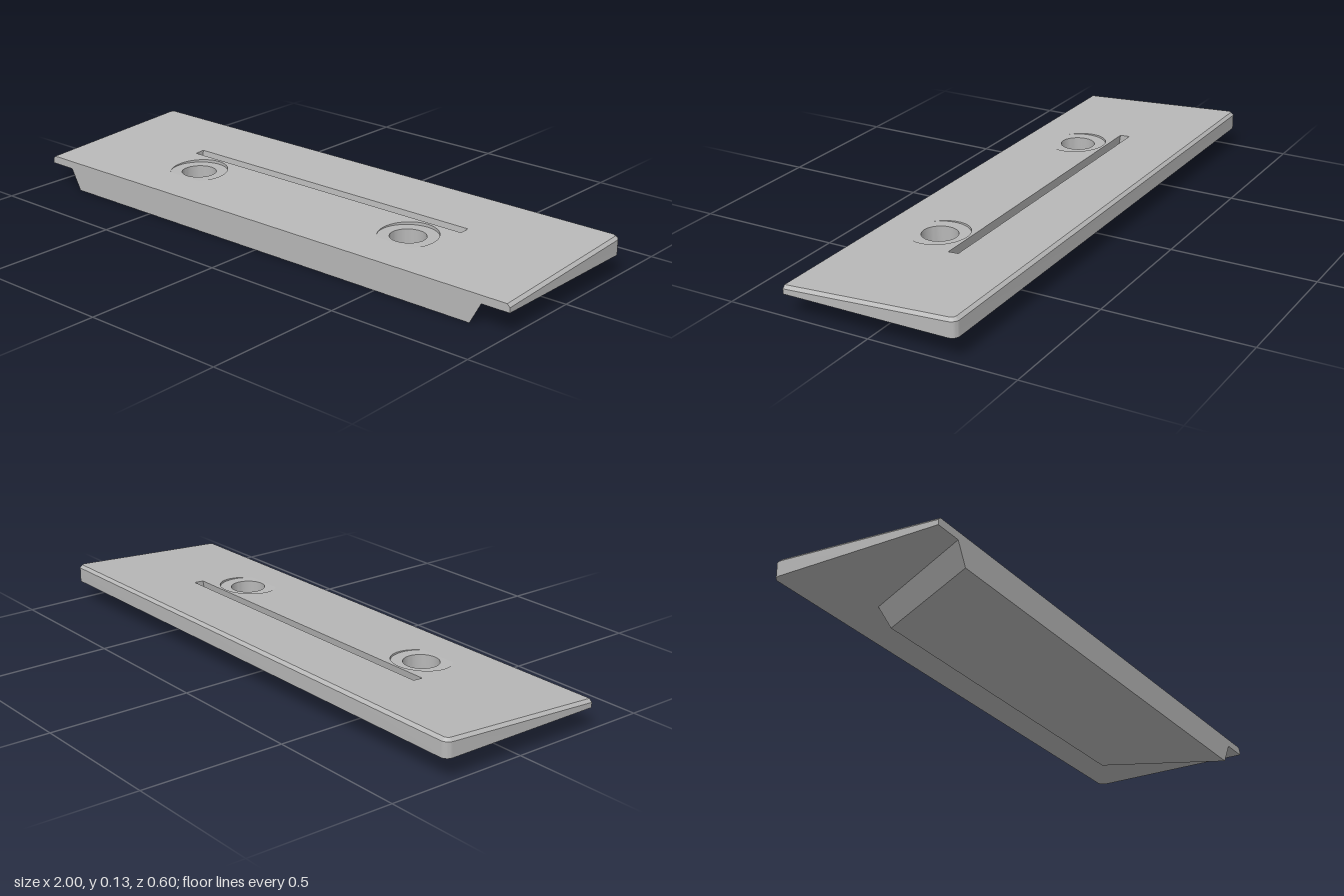
import * as THREE from 'three';
import { toCreasedNormals } from 'three/addons/utils/BufferGeometryUtils.js';

const PLATE_BOTTOM = 0.073, FRONT = 0.3, BEVEL = 0.01;
const HOLE_X = 0.465, HOLE_Z = 0.09, HOLE_R = 0.06, BORE_R = 0.1, BORE_END = 0.163;
const slope = (z) => 0.1 + (FRONT - z) * 0.0593;   // sloping top face
const flat = (y) => () => y;
const FLOOR = slope(BORE_END);

// All loops are [x, z]; outlines run counter-clockwise from above, holes clockwise.
const toVec = (loop) => loop.map(([x, z]) => new THREE.Vector2(x, -z));

// Flat or sloping face with holes
function cap(outline, holes, height, down = false) {
  const shape = new THREE.Shape(toVec(outline));
  holes.forEach((h) => shape.holes.push(new THREE.Path(toVec(h))));
  const geo = new THREE.ShapeGeometry(shape).rotateX(-Math.PI / 2);
  const p = geo.attributes.position;
  for (let i = 0; i < p.count; i++) p.setY(i, height(p.getZ(i)));
  if (down) geo.index.array.reverse();
  const out = geo.toNonIndexed();
  out.computeVertexNormals();
  return out;
}

// Wall between an upper and a lower loop
function wall(top, topY, bottom, bottomY, closed = false) {
  const pos = [], n = top.length;
  const at = (loop, y, i) => [loop[i][0], y(loop[i][1]), loop[i][1]];
  for (let i = 0; i < (closed ? n : n - 1); i++) {
    const j = (i + 1) % n;
    const a = at(top, topY, i), b = at(top, topY, j);
    const c = at(bottom, bottomY, j), d = at(bottom, bottomY, i);
    pos.push(...a, ...d, ...c, ...a, ...c, ...b);
  }
  const geo = new THREE.BufferGeometry();
  geo.setAttribute('position', new THREE.Float32BufferAttribute(pos, 3));
  return toCreasedNormals(geo, 0.45);
}

// Plate outline with rounded back corners
function plateOutline(inset) {
  const r = 0.025, half = [[1 - inset, FRONT]];
  for (let i = 0; i <= 8; i++) {
    const t = (i / 8) * Math.PI / 2;
    half.push([1 - r + (r - inset) * Math.cos(t), -0.3 + r - (r - inset) * Math.sin(t)]);
  }
  return [...half, ...half.map(([x, z]) => [-x, z]).reverse()];
}

// Clockwise arc around a hole centre
function arc(cx, r, from, to, n) {
  return Array.from({ length: n + 1 }, (_, i) => {
    const t = from + (to - from) * i / n;
    return [cx + r * Math.cos(t), HOLE_Z + r * Math.sin(t)];
  });
}

const trapezoid = (front, back, z) => [[front, FRONT], [back, z], [-back, z], [-front, FRONT]];
const slotLoop = (z0, z1) => [[-0.59, z0], [0.59, z0], [0.59, z1], [-0.59, z1]];

export function createModel() {
  const model = new THREE.Group();
  const grey = new THREE.MeshStandardMaterial({ color: 0xb8b8b8, side: THREE.DoubleSide });
  grey.name = 'grey';
  const add = (name, geo) => {
    const mesh = new THREE.Mesh(geo, grey);
    mesh.name = name;
    model.add(mesh);
  };

  const outer = plateOutline(0), inner = plateOutline(BEVEL);
  const baseTop = trapezoid(0.9, 0.685, -0.142), baseBottom = trapezoid(0.86, 0.662, -0.107);
  const slotTop = slotLoop(-0.056, -0.02), slotBottom = slotLoop(-0.038, -0.003);
  const a = Math.asin((BORE_END - HOLE_Z) / BORE_R);
  const xs = [HOLE_X, -HOLE_X];
  const bores = xs.map((x) => arc(x, BORE_R, Math.PI - a, 2 * Math.PI + a, 40));
  const holes = xs.map((x) => arc(x, HOLE_R, 0, 2 * Math.PI, 40).slice(0, -1));
  const bevelEdge = (z) => slope(z) - BEVEL;
  // keeps the bevel's lower edge level with the rim it runs along
  const rim = (z) => bevelEdge(Math.max(z, -0.29));

  // Wedge-shaped plate
  add('plateTop', cap(inner, [slotTop, ...bores], slope));
  add('plateBevel', wall(inner, slope, outer, rim));
  add('plateEdge', wall(outer, rim, outer, flat(PLATE_BOTTOM)));
  add('plateUnderside', cap([...outer, ...[...baseTop].reverse()], [], flat(PLATE_BOTTOM), true));

  // Tapered base block
  add('baseSides', wall(baseTop, flat(PLATE_BOTTOM), baseBottom, flat(0)));
  add('baseBottom', cap(baseBottom, [slotBottom, ...holes], flat(0), true));

  // Shared front face of plate and base
  const right = [[0.86, 0], [0.9, PLATE_BOTTOM], [1, PLATE_BOTTOM], [1, 0.09], [0.99, 0.1]];
  const front = [...right, ...right.map(([x, y]) => [-x, y]).reverse()];
  const frontShape = new THREE.Shape(front.map(([x, y]) => new THREE.Vector2(x, y)));
  add('frontFace', new THREE.ShapeGeometry(frontShape).translate(0, 0, FRONT));

  // Slanted slot
  add('slotWalls', wall(slotTop, slope, slotBottom, flat(0), true));

  // Screw holes with level countersunk seats
  xs.forEach((x, i) => {
    const side = i ? 'right' : 'left';
    add(side + 'SeatWall', wall(bores[i], slope, bores[i], flat(FLOOR)));
    add(side + 'SeatFloor', cap([...bores[i]].reverse(), [holes[i]], flat(FLOOR)));
    add(side + 'HoleWall', wall(holes[i], flat(FLOOR), holes[i], flat(0), true));
  });
  return model;
}
